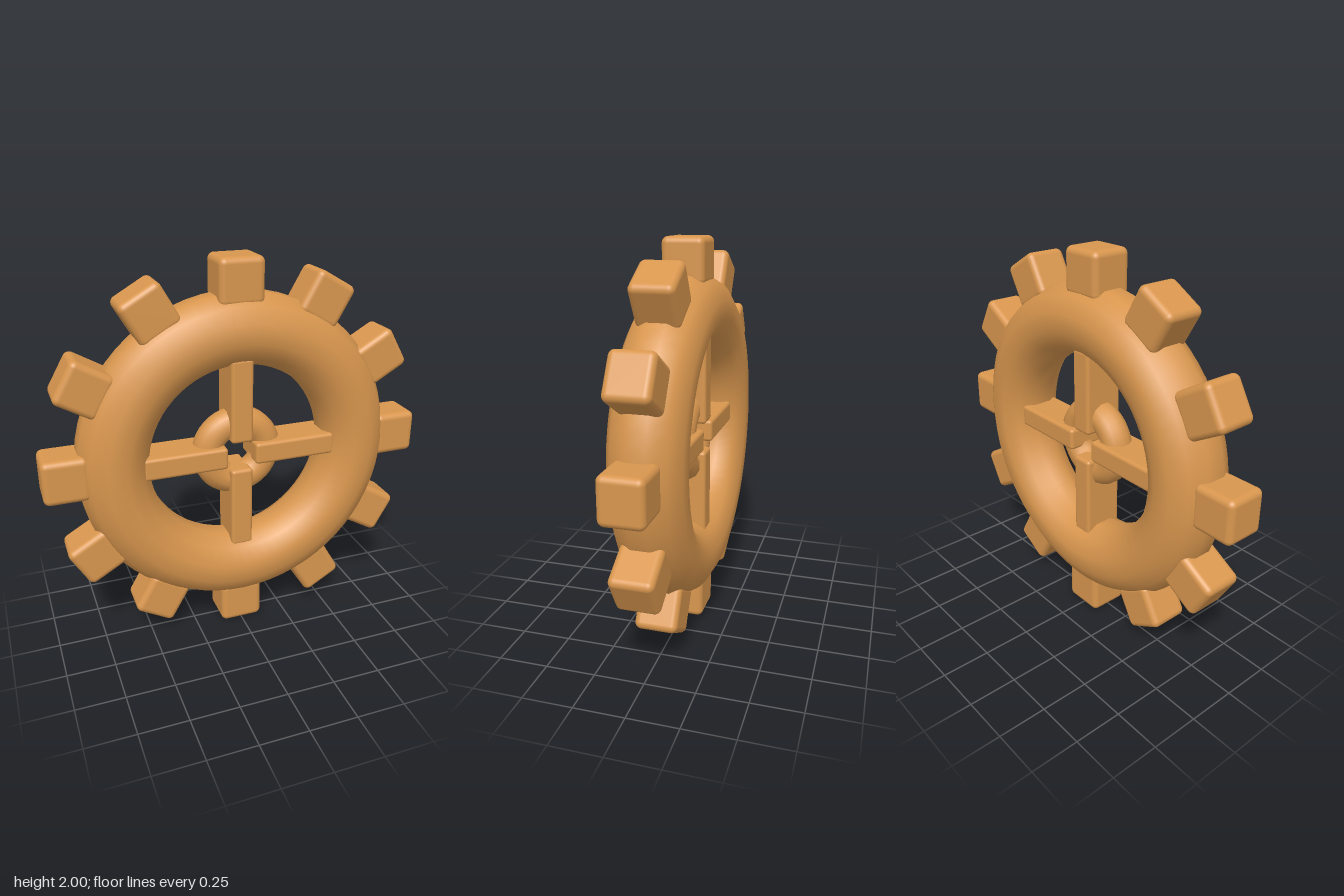
import * as THREE from 'three';
import { mergeVertices } from 'three/addons/utils/BufferGeometryUtils.js';
import { RoundedBoxGeometry } from 'three/addons/geometries/RoundedBoxGeometry.js';

// Smooth ring around the z axis, with its tube corners turned half a step
function ringGeometry(radius, tube, tubeSides, segments) {
  const profile = [];
  for (let i = 0; i <= tubeSides; i++) {
    const a = ((i % tubeSides) + 0.5) / tubeSides * Math.PI * 2;
    profile.push(new THREE.Vector2(radius + tube * Math.cos(a), tube * Math.sin(a)));
  }
  const lathe = new THREE.LatheGeometry(profile, segments);
  lathe.deleteAttribute('uv');
  lathe.deleteAttribute('normal');
  const ring = mergeVertices(lathe, 1e-5);
  ring.computeVertexNormals();
  ring.rotateX(Math.PI / 2);
  return ring;
}

export function createModel() {
  const wood = new THREE.MeshStandardMaterial({ color: 0xd8964e });
  wood.name = 'warm wood';

  const model = new THREE.Group();
  model.name = 'cogWheel';
  const wheel = new THREE.Group();
  wheel.name = 'wheel';
  wheel.position.y = 1;
  model.add(wheel);

  const add = (name, geometry) => {
    const mesh = new THREE.Mesh(geometry, wood);
    mesh.name = name;
    wheel.add(mesh);
    return mesh;
  };

  // Place copies of a part evenly around the axle
  const radial = (name, geometry, count, distance) => {
    for (let i = 0; i < count; i++) {
      const a = i / count * Math.PI * 2;
      const mesh = add(name + (i + 1), geometry);
      mesh.position.set(Math.cos(a) * distance, Math.sin(a) * distance, 0);
      mesh.rotation.z = a;
    }
  };

  // Rim and hub rings
  add('rim', ringGeometry(0.65, 0.183, 12, 64));
  add('hub', ringGeometry(0.158, 0.08, 12, 40));

  // Teeth and spokes
  radial('tooth', new RoundedBoxGeometry(0.23, 0.228, 0.214, 4, 0.032), 12, 0.885);
  radial('spoke', new RoundedBoxGeometry(0.44, 0.116, 0.214, 4, 0.018), 4, 0.295);

  return model;
}
